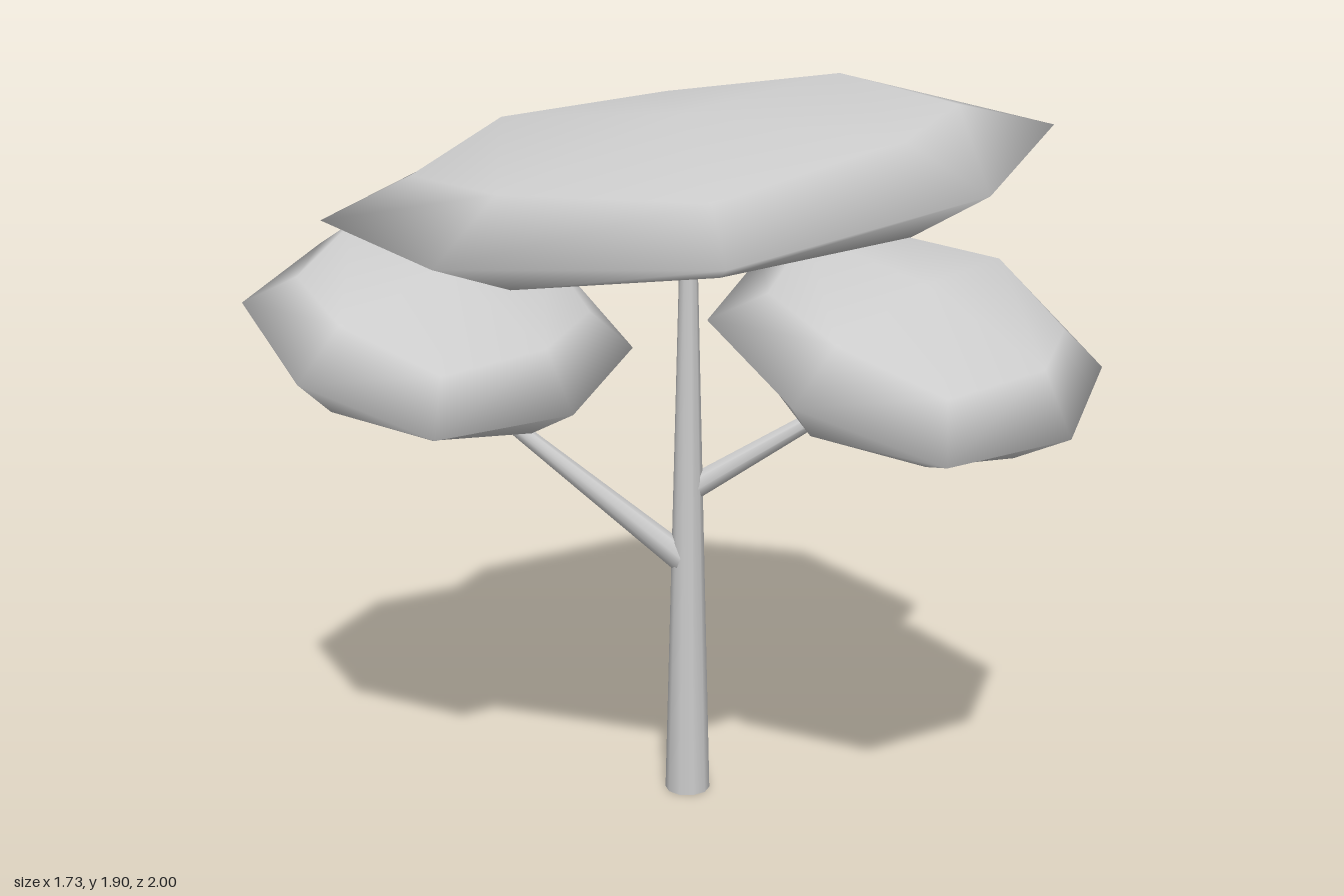
import * as THREE from 'three';
import { mergeVertices } from 'three/addons/utils/BufferGeometryUtils.js';

const material = new THREE.MeshStandardMaterial({ color: 0xcccccc });
const deg = THREE.MathUtils.degToRad;

// Flattened eight-sided cushion: a 2x2x2 box rounded by pulling in edges and corners
function cushionGeometry(radius, halfHeight) {
  const box = new THREE.BoxGeometry(2, 2, 2, 2, 2, 2);
  box.deleteAttribute('uv');
  box.deleteAttribute('normal');
  const geometry = mergeVertices(box);
  const pos = geometry.attributes.position;
  const pull = [0, 1, 0.75, 0.556]; // face centre, edge middle, corner
  const v = new THREE.Vector3();
  for (let i = 0; i < pos.count; i++) {
    v.fromBufferAttribute(pos, i);
    const outer = v.toArray().filter((c) => Math.abs(c) > 0.5).length;
    v.multiplyScalar(pull[outer]);
    pos.setXYZ(i, v.x * radius, v.y * halfHeight, v.z * radius);
  }
  geometry.computeVertexNormals();
  return geometry;
}

function canopy(name, radius, halfHeight, position, tilt) {
  const mesh = new THREE.Mesh(cushionGeometry(radius, halfHeight), material);
  mesh.name = name;
  mesh.position.set(...position);
  mesh.rotation.set(...tilt.map(deg));
  return mesh;
}

// Tapered round limb between two points
function limb(name, from, to, r0, r1, sides) {
  const a = new THREE.Vector3(...from);
  const b = new THREE.Vector3(...to);
  const mesh = new THREE.Mesh(new THREE.CylinderGeometry(r1, r0, a.distanceTo(b), sides), material);
  mesh.name = name;
  mesh.position.copy(a).add(b).multiplyScalar(0.5);
  mesh.quaternion.setFromUnitVectors(new THREE.Vector3(0, 1, 0), b.sub(a).normalize());
  return mesh;
}

export function createModel() {
  const tree = new THREE.Group();
  tree.name = 'tree';

  // Trunk and two branches
  tree.add(
    limb('trunk', [0, 0, 0.02], [0.003, 1.55, 0.02], 0.06, 0.021, 10),
    limb('frontBranch', [0.01, 0.84, 0.02], [0.37, 1.16, 0.44], 0.035, 0.014, 8),
    limb('backBranch', [0, 0.64, 0.02], [-0.32, 1.08, -0.42], 0.038, 0.017, 8)
  );

  // Large crown and two matching side canopies
  const sideTilt = [22, 2, 10];
  tree.add(
    canopy('topCanopy', 0.88, 0.15, [0, 1.67, 0.025], [0, -2.4, 10]),
    canopy('frontCanopy', 0.483, 0.175, [0.215, 1.26, 0.55], sideTilt),
    canopy('backCanopy', 0.483, 0.175, [-0.325, 1.26, -0.55], sideTilt)
  );
  return tree;
}
